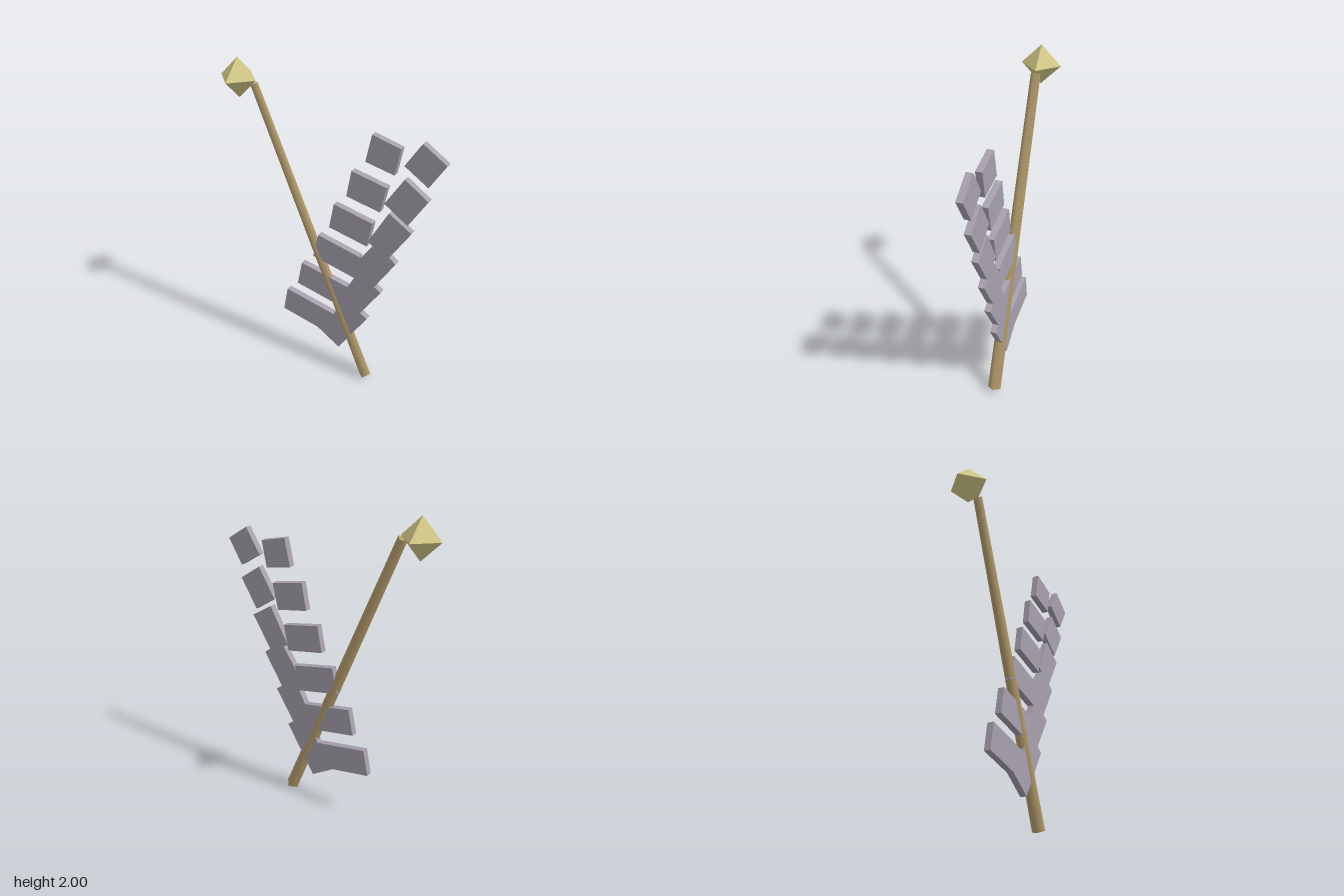
import * as THREE from 'three';

export function createModel() {
  const model = new THREE.Group();
  const wood = new THREE.MeshStandardMaterial({ color: 0xb39b6d });
  wood.name = 'wood';
  const gold = new THREE.MeshStandardMaterial({ color: 0xd3c988, flatShading: true });
  gold.name = 'paleGold';
  const stone = new THREE.MeshStandardMaterial({ color: 0xa7a1ae });
  stone.name = 'greyStone';

  const add = (name, geometry, material) => {
    const mesh = new THREE.Mesh(geometry, material);
    mesh.name = name;
    model.add(mesh);
    return mesh;
  };

  // Tapered four-sided shaft, leaning to the right
  const foot = new THREE.Vector3(0.28, 0.016, 0);
  const tip = new THREE.Vector3(-0.495, 1.86, 0);
  const shaft = add('shaft', new THREE.CylinderGeometry(0.03, 0.0425, foot.distanceTo(tip), 4), wood);
  shaft.position.copy(foot).add(tip).multiplyScalar(0.5);
  shaft.rotation.z = Math.atan2(foot.x - tip.x, tip.y - foot.y);

  // Eight-sided gem at the tip
  add('gem', new THREE.OctahedronGeometry(0.122), gold).position.set(-0.605, 1.878, 0);

  // Flat plates cut from outlines, centred on z = 0
  const plate = (name, points) => {
    const shape = new THREE.Shape(points.map(([x, y]) => new THREE.Vector2(x, y)));
    const geometry = new THREE.ExtrudeGeometry(shape, { depth: 0.04, bevelEnabled: false });
    add(name, geometry.translate(0, 0, -0.02), stone);
  };

  // Stepped spine with its three lower teeth
  plate('spine', [
    [0.09, 0.177], [0.288, 0.489], [0.241, 0.516], [0.376, 0.722], [0.331, 0.749],
    [0.463, 0.958], [0.421, 0.992], [0.55, 1.193], [0.405, 1.283],
    [0.278, 1.056], [0.31, 1.034], [0.214, 0.897], [0.225, 0.929],
    [-0.061, 0.992], [-0.098, 0.828], [0.193, 0.765], [0.146, 0.68],
    [-0.183, 0.746], [-0.217, 0.579], [0.093, 0.516], [0.05, 0.431],
    [-0.299, 0.5], [-0.331, 0.331], [-0.071, 0.278],
  ]);

  // Loose tiles of the left row
  const leftRow = [
    [[0.283, 1.733], [0.458, 1.69], [0.426, 1.526], [0.246, 1.563]],
    [[0.161, 1.484], [0.384, 1.437], [0.347, 1.272], [0.13, 1.315]],
    [[0.048, 1.238], [0.304, 1.183], [0.272, 1.019], [0.016, 1.071]],
  ];
  leftRow.forEach((points) => plate('leftTile', points));

  // Loose tiles of the right row
  const rightRow = [
    [[0.579, 1.751], [0.722, 1.659], [0.627, 1.505], [0.481, 1.598]],
    [[0.489, 1.519], [0.635, 1.421], [0.521, 1.238], [0.373, 1.336]],
  ];
  rightRow.forEach((points) => plate('rightTile', points));

  return model;
}
